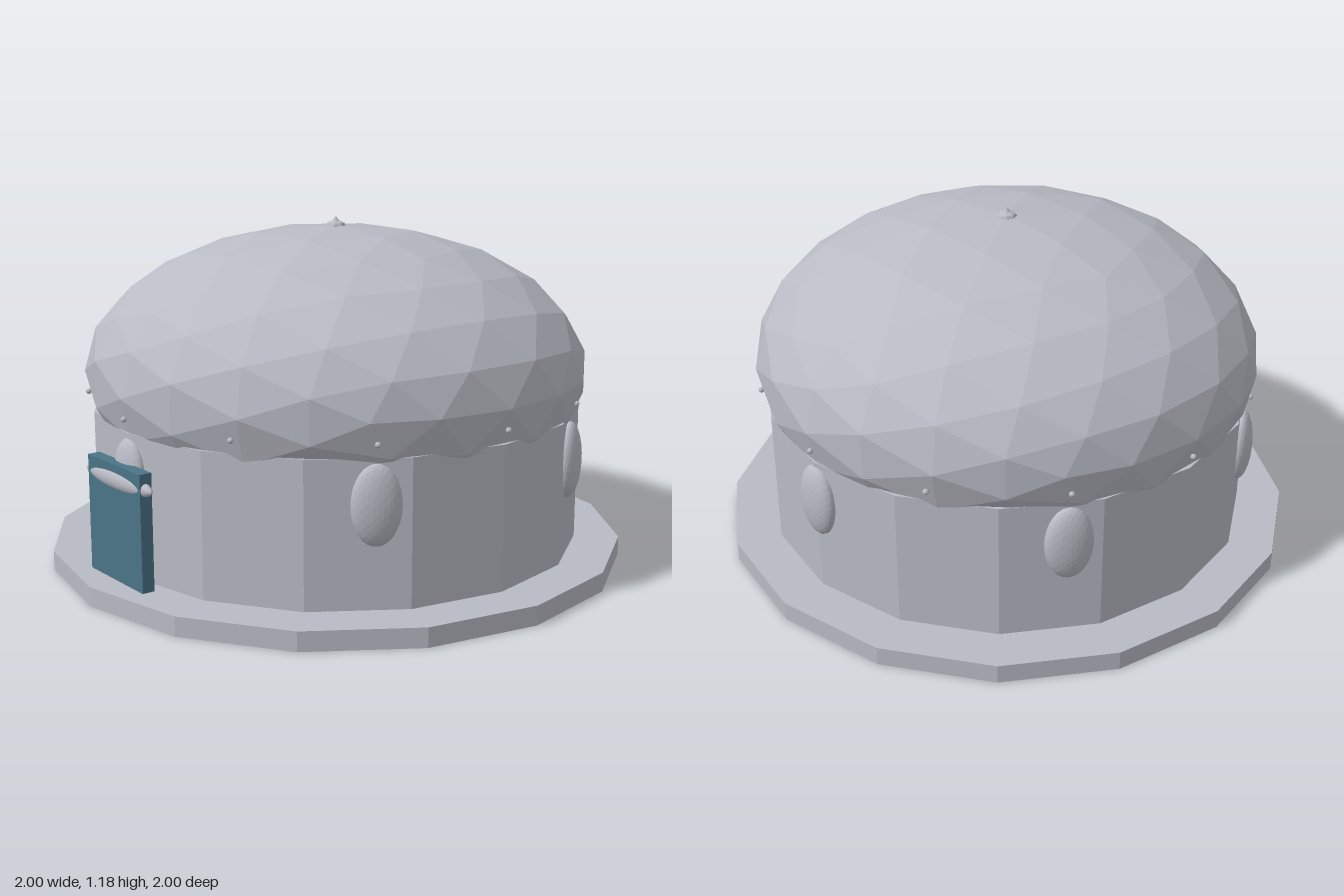
import * as THREE from 'three';

export function createModel() {
  const group = new THREE.Group();
  const grey = new THREE.MeshStandardMaterial({ name: 'paleGrey', color: 0xb8bbc4, flatShading: true });
  const teal = new THREE.MeshStandardMaterial({ name: 'teal', color: 0x4b7587, flatShading: true });

  function add(name, geometry, material, x, y, z) {
    const mesh = new THREE.Mesh(geometry, material);
    mesh.name = name;
    mesh.position.set(x, y, z);
    group.add(mesh);
    return mesh;
  }

  // Sixteen-sided plinth and wall
  add('base', new THREE.CylinderGeometry(1, 1, 0.065, 16), grey, 0, 0.0325, 0);
  add('wall', new THREE.CylinderGeometry(0.845, 0.845, 0.48, 16), grey, 0, 0.305, 0);

  // Squashed faceted dome, its underside sinking into the wall
  add('roof', new THREE.IcosahedronGeometry(0.868, 3).scale(1, 0.565, 1), grey, 0, 0.66, 0);

  // Small finial on the crown
  add('finialKnob', new THREE.SphereGeometry(0.034, 8, 6).scale(1, 0.5, 1), grey, 0, 1.148, 0);
  add('finialTip', new THREE.ConeGeometry(0.022, 0.03, 8), grey, 0, 1.165, 0);

  // Six oval windows bulging from the wall
  const oval = new THREE.IcosahedronGeometry(1, 4).scale(0.08, 0.13, 0.04);
  for (let i = 0; i < 6; i++) {
    const a = i * Math.PI / 3;
    add('window', oval, grey, 0.837 * Math.sin(a), 0.4, 0.837 * Math.cos(a)).rotation.y = a;
  }

  // Twelve studs around the eaves
  const stud = new THREE.IcosahedronGeometry(0.01, 1);
  for (let i = 0; i < 12; i++) {
    const a = i * Math.PI / 6;
    add('eavesStud', stud, grey, 0.856 * Math.sin(a), 0.592, 0.856 * Math.cos(a));
  }

  // Door slab with a lens-shaped bar across it
  add('door', new THREE.BoxGeometry(0.32, 0.39, 0.043), teal, 0, 0.258, 0.8785);
  add('doorBar', new THREE.IcosahedronGeometry(1, 4).scale(0.2, 0.036, 0.03), grey, 0, 0.4, 0.88);

  return group;
}
